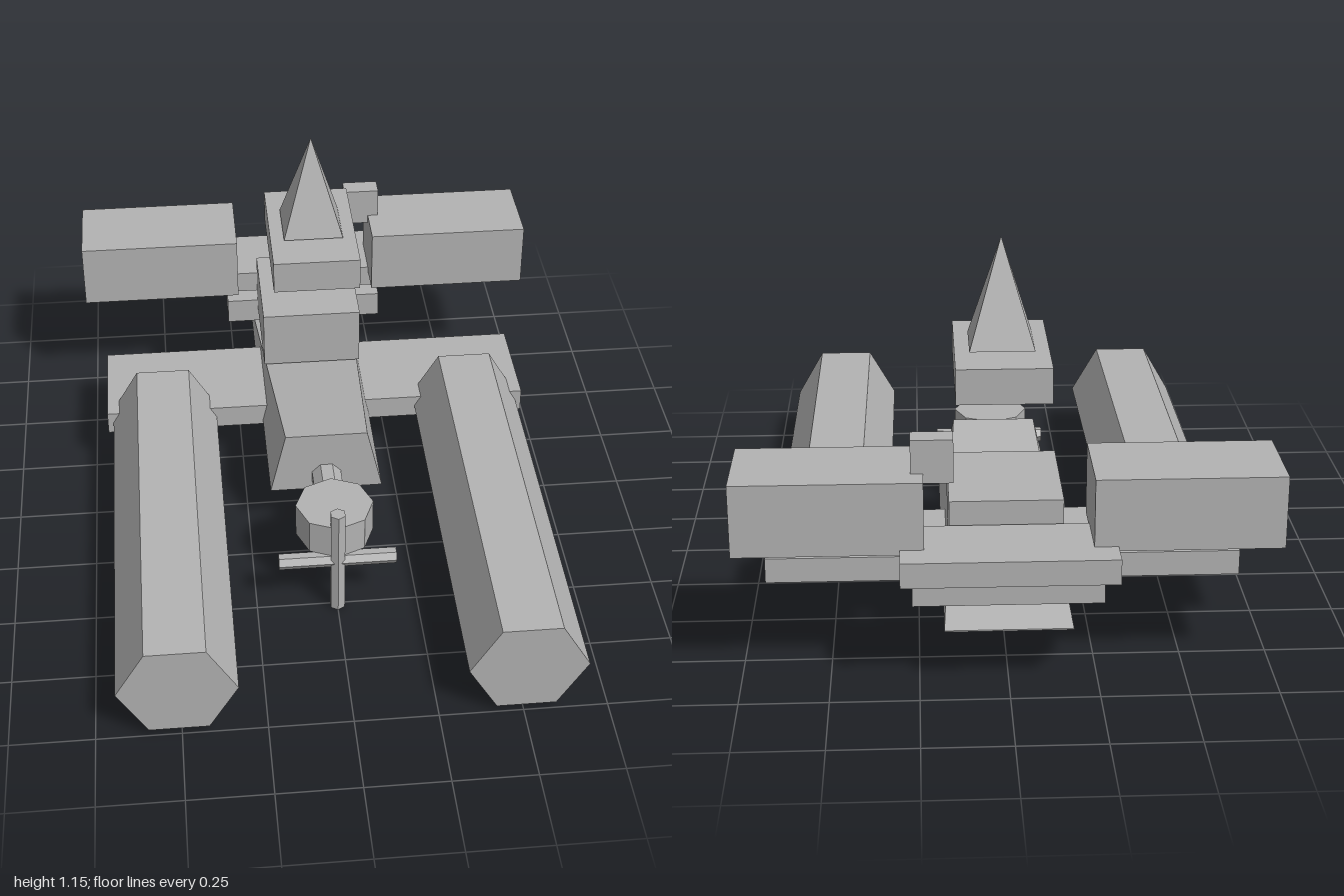
import * as THREE from 'three';

export function createModel() {
  const group = new THREE.Group();
  const grey = new THREE.MeshStandardMaterial({ color: 0xb3b3b3, flatShading: true });
  grey.name = 'hull grey';

  const add = (name, geometry, x, y, z) => {
    const mesh = new THREE.Mesh(geometry, grey);
    mesh.name = name;
    mesh.position.set(x, y, z);
    group.add(mesh);
    return mesh;
  };
  // Box given by its extents on each axis
  const block = (name, x0, x1, y0, y1, z0, z1) =>
    add(name, new THREE.BoxGeometry(x1 - x0, y1 - y0, z1 - z0), (x0 + x1) / 2, (y0 + y1) / 2, (z0 + z1) / 2);

  // Paired hexagonal pods, tipped slightly nose down, and rear side blocks
  for (const side of [1, -1]) {
    const label = side > 0 ? 'left' : 'right';
    const pod = new THREE.CylinderGeometry(0.176, 0.173, 1.3, 6);
    pod.rotateY(Math.PI / 2).rotateX(Math.PI / 2);
    add(label + 'Pod', pod, side * 0.508, 0.184, 0.35).rotation.x = 0.019;
    add(label + 'RearBlock', new THREE.BoxGeometry(0.528, 0.212, 0.27), side * 0.497, 0.508, -0.78);
  }

  // Cross wing and central stack
  block('crossWing', -0.7, 0.7, 0.155, 0.232, -0.565, -0.228);
  block('cabin', -0.162, 0.162, 0.29, 0.485, -0.748, -0.382);
  block('upperTailPlate', -0.3, 0.3, 0.342, 0.416, -1, -0.757);
  block('lowerTailPlate', -0.268, 0.268, 0.235, 0.322, -0.895, -0.725);
  block('sensorBox', 0.15, 0.268, 0.585, 0.712, -0.85, -0.785);
  block('roofSlab', -0.138, 0.138, 0.724, 0.83, -0.618, -0.175);

  // Four-sided spire above the roof slab
  const spire = new THREE.ConeGeometry(0.095 * Math.SQRT2, 0.318, 4);
  spire.rotateY(Math.PI / 4);
  add('spire', spire, 0, 0.996, -0.395);

  // Hull: tall narrow-topped nose falling to a thin tail edge
  const hull = new THREE.BoxGeometry(2, 2, 2);
  const p = hull.attributes.position;
  for (let i = 0; i < p.count; i++) {
    const front = p.getZ(i) > 0, top = p.getY(i) > 0;
    p.setXYZ(i,
      Math.sign(p.getX(i)) * (front && top ? 0.13 : 0.18),
      top ? (front ? 0.385 : 0.174) : 0.17,
      front ? 0.143 : -0.925);
  }
  hull.computeVertexNormals();
  add('hull', hull, 0, 0, 0);

  // Nose boom, octagonal hub and crossed rods
  const boom = new THREE.CylinderGeometry(0.05, 0.05, 0.3, 8);
  boom.rotateY(Math.PI / 8).rotateX(Math.PI / 2);
  add('noseBoom', boom, 0, 0.22, 0.25);
  add('noseHub', new THREE.CylinderGeometry(0.12, 0.12, 0.113, 8), 0, 0.267, 0.402);
  add('uprightRod', new THREE.CylinderGeometry(0.025, 0.025, 0.372, 6), 0, 0.186, 0.508);
  const bar = new THREE.CylinderGeometry(0.025, 0.025, 0.362, 6);
  bar.rotateZ(Math.PI / 2);
  add('crossRod', bar, 0, 0.187, 0.502);

  return group;
}
